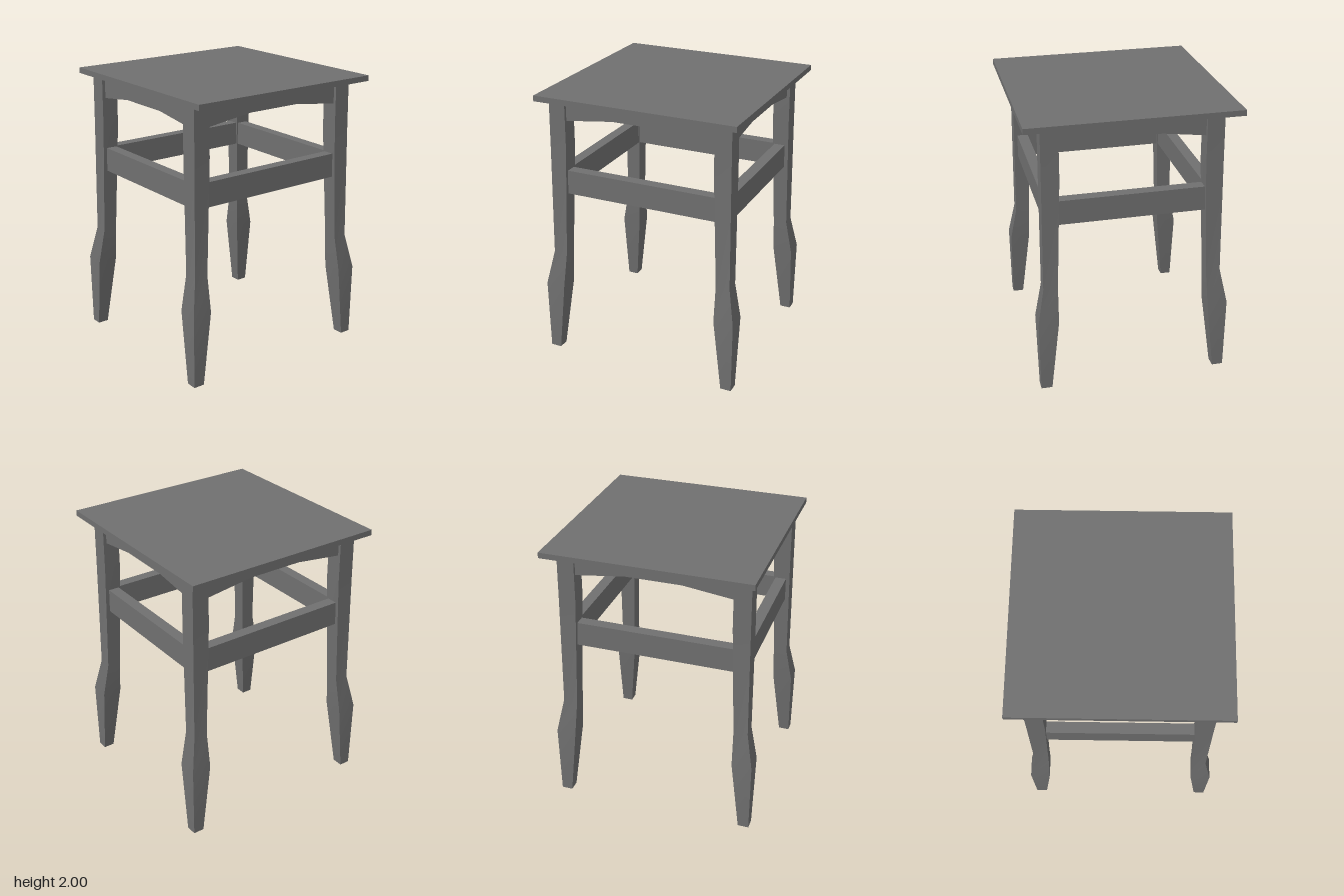
import * as THREE from 'three';

const material = new THREE.MeshStandardMaterial({ color: 0x6f6f6f });
const LEG_Z = 0.007; // centre of the leg frame along z
const RAIL = 0.08;   // thickness of aprons and stretchers

// Leg profile: height, inner and outer distance from the centre in x
const LEG = [
  [0, 0.6, 0.679],
  [0.535, 0.54, 0.684],
  [0.785, 0.533, 0.635],
  [1.6, 0.502, 0.625],
  [1.96, 0.501, 0.622],
];
const Z_EXTRA = 0.054; // the frame is this much deeper than wide on each side

function add(parent, name, geometry, x = 0, y = 0, z = 0) {
  const mesh = new THREE.Mesh(geometry, material);
  mesh.name = name;
  mesh.position.set(x, y, z);
  parent.add(mesh);
  return mesh;
}

// Four-sided leg for the corner (sx, sz): each side is smooth along its
// length, with sharp edges between the sides
function legGeometry(sx, sz) {
  const rings = LEG.map(([y, inner, outer]) => {
    const [x0, x1] = [sx * inner, sx * outer].sort((a, b) => a - b);
    const [z0, z1] = [sz * (inner + Z_EXTRA), sz * (outer + Z_EXTRA)].sort((a, b) => a - b);
    return [[x0, y, z1], [x1, y, z1], [x1, y, z0], [x0, y, z0]];
  });
  const pos = [];
  const index = [];
  // Strip of quads through pairs of points, sharing the points between quads
  const strip = (pairs) => {
    const start = pos.length / 3;
    pairs.forEach(([p, q], r) => {
      pos.push(...p, ...q);
      if (r === 0) return;
      const a = start + 2 * (r - 1);
      index.push(a, a + 1, a + 3, a, a + 3, a + 2);
    });
  };
  for (let i = 0; i < 4; i++) strip(rings.map((ring) => [ring[i], ring[(i + 1) % 4]]));
  const bottom = rings[0];
  const top = rings[rings.length - 1];
  strip([[bottom[3], bottom[2]], [bottom[0], bottom[1]]]);
  strip([[top[0], top[1]], [top[3], top[2]]]);

  const geometry = new THREE.BufferGeometry();
  geometry.setAttribute('position', new THREE.Float32BufferAttribute(pos, 3));
  geometry.setIndex(index);
  geometry.computeVertexNormals();
  return geometry;
}

// Apron board with a raised flat middle on its lower edge
function apronGeometry(half, low) {
  const shape = new THREE.Shape([
    [-half, low], [-0.2, 1.846], [0.2, 1.846], [half, low], [half, 1.96], [-half, 1.96],
  ].map(([x, y]) => new THREE.Vector2(x, y)));
  return new THREE.ExtrudeGeometry(shape, { depth: RAIL, bevelEnabled: false })
    .translate(0, 0, -RAIL / 2);
}

export function createModel() {
  const stool = new THREE.Group();
  stool.name = 'stool';

  add(stool, 'seat', new THREE.BoxGeometry(1.48, 0.04, 1.475), 0, 1.98, -0.0075);

  const frame = new THREE.Group();
  frame.name = 'frame';
  frame.position.z = LEG_Z;
  stool.add(frame);

  for (const sz of [1, -1]) {
    for (const sx of [1, -1]) {
      add(frame, `${sz > 0 ? 'front' : 'back'}${sx > 0 ? 'Left' : 'Right'}Leg`, legGeometry(sx, sz));
    }
  }

  // Rails between the legs, set back slightly from the outer leg faces
  for (const s of [1, -1]) {
    const endName = s > 0 ? 'front' : 'back';
    const sideName = s > 0 ? 'left' : 'right';
    const x = s * (0.602 - RAIL / 2);
    const z = s * (0.654 - RAIL / 2);

    add(frame, `${endName}Apron`, apronGeometry(0.504, 1.806), 0, 0, z);
    add(frame, `${sideName}Apron`, apronGeometry(0.558, 1.8), x).rotation.y = -Math.PI / 2;

    add(frame, `${endName}Stretcher`, new THREE.BoxGeometry(1.04, 0.175, RAIL), 0, 1.342, z);
    add(frame, `${sideName}Stretcher`, new THREE.BoxGeometry(RAIL, 0.175, 1.148), x, 1.342, 0);
  }

  return stool;
}
